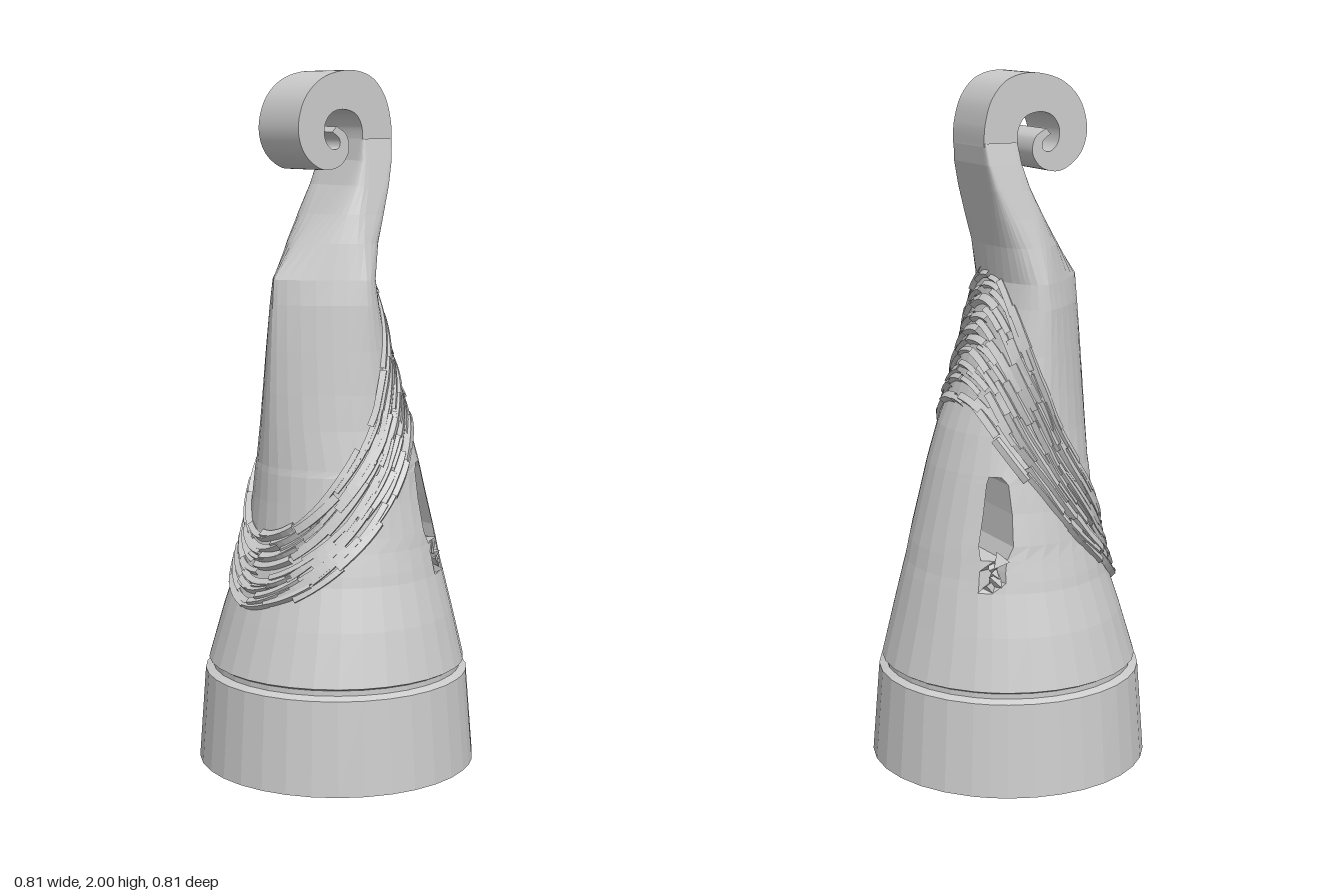
import * as THREE from 'three';

const mat = new THREE.MeshStandardMaterial({ color: 0xcccccc, flatShading: true, side: THREE.DoubleSide });

// body sections: y, x min, x max, half depth, squareness of front half and of back half
// (1 = ellipse, below 1 = box, above 1 = pointed)
const ROWS = [
  [0, -0.404, 0.404, 0.407, 1, 1], [0.27, -0.385, 0.383, 0.385, 1, 1], [0.28, -0.362, 0.362, 0.364, 1, 1],
  [0.295, -0.362, 0.362, 0.364, 1, 1], [0.302, -0.374, 0.374, 0.377, 1, 1], [0.45, -0.328, 0.338, 0.342, 1, 1],
  [0.57, -0.288, 0.31, 0.306, 1, 1], [0.6, -0.28, 0.302, 0.3, 1, 1], [0.63, -0.272, 0.296, 0.293, 1, 1],
  [0.66, -0.263, 0.29, 0.286, 1, 1], [0.7, -0.253, 0.28, 0.279, 1, 1.03], [0.79, -0.246, 0.258, 0.262, 1, 1.06],
  [0.87, -0.242, 0.238, 0.25, 1, 1.1], [0.89, -0.24, 0.233, 0.246, 1, 1.12], [1.0, -0.238, 0.2, 0.226, 1, 1.2],
  [1.1, -0.235, 0.16, 0.213, 1, 1.28], [1.22, -0.23, 0.118, 0.202, 1, 1.38], [1.35, -0.224, 0.078, 0.193, 1, 1.52],
  [1.42, -0.22, 0.06, 0.184, 0.95, 1.65], [1.52, -0.145, 0.073, 0.158, 0.7, 1.25], [1.6, -0.08, 0.09, 0.14, 0.45, 0.85],
  [1.68, -0.024, 0.106, 0.124, 0.25, 0.45], [1.75, 0.008, 0.12, 0.111, 0.15, 0.2], [1.81, 0.02, 0.125, 0.099, 0.1, 0.1],
];
// eye slot edges by row: first row index and [x inner, x outer]
const SLOT0 = 9;
const SLOT = [[0.14, 0.2], [0.12, 0.2], [0.114, 0.18], [0.116, 0.165], [0.13, 0.158]];

const pow = (v, e) => Math.sign(v) * Math.pow(Math.abs(v), e);
// x where a section is deepest: further forward where the back is pointed
const centre = (row) => (row[1] + row[2]) / 2 + Math.max(0, row[5] - 1) * 0.08;
function onRow(row, a) {
  const c = centre(row), back = Math.cos(a) < 0;
  const e = back ? row[5] : row[4];
  const rx = back ? c - row[1] : row[2] - c;
  return new THREE.Vector3(c + rx * pow(Math.cos(a), e), row[0], row[3] * pow(Math.sin(a), e));
}
function onBody(y, a) {
  let i = 0;
  while (i < ROWS.length - 2 && ROWS[i + 1][0] < y) i++;
  const t = (y - ROWS[i][0]) / (ROWS[i + 1][0] - ROWS[i][0]);
  return onRow(ROWS[i].map((v, k) => THREE.MathUtils.lerp(v, ROWS[i + 1][k], t)), a);
}

function seeded(seed) {
  return () => {
    seed = (seed * 16807) % 2147483647;
    return seed / 2147483647;
  };
}

function add(group, name, geometry) {
  const mesh = new THREE.Mesh(geometry, mat);
  mesh.name = name;
  group.add(mesh);
  return mesh;
}

// lofted body with a slot running through it from front to back
function bodyGeometry() {
  const A = 4, B = 6, H = 17; // slot lies between columns A and B of the front half
  const pos = [];
  const tri = (...p) => p.forEach((v) => pos.push(v.x, v.y, v.z));
  const quad = (a, b, c, d) => tri(a, d, b, b, d, c);
  const halves = ROWS.map((row, r) => {
    let outer = 0.82, inner = 1.08;
    const s = SLOT[r - SLOT0];
    if (s) {
      const c = centre(row), rx = row[2] - c;
      outer = Math.acos((s[1] - c) / rx);
      inner = Math.acos((s[0] - c) / rx);
    }
    return Array.from({ length: H + 1 }, (_, k) => {
      const a = k <= A ? outer * k / A
        : k <= B ? outer + (inner - outer) * (k - A) / (B - A)
          : inner + (Math.PI - inner) * (k - B) / (H - B);
      const p = onRow(row, a);
      if (k === H) p.z = 0;
      // chipped hollow below the slot
      if (k === A + 1 && (r === 7 || r === 8)) p.multiply(new THREE.Vector3(0.9, 1, 0.86));
      return p;
    });
  });
  const flip = (p) => new THREE.Vector3(p.x, p.y, -p.z);
  for (let r = 0; r < ROWS.length - 1; r++) {
    const lo = halves[r], hi = halves[r + 1];
    const open = r >= SLOT0 && r < SLOT0 + SLOT.length - 1;
    for (let k = 0; k < H; k++) {
      if (open && k >= A && k < B) continue;
      quad(lo[k], lo[k + 1], hi[k + 1], hi[k]);
      quad(flip(lo[k + 1]), flip(lo[k]), flip(hi[k]), flip(hi[k + 1]));
    }
    // slot side walls
    if (open) {
      quad(lo[A], flip(lo[A]), flip(hi[A]), hi[A]);
      quad(flip(lo[B]), lo[B], hi[B], flip(hi[B]));
    }
  }
  // slot floor and ceiling
  for (let k = A; k < B; k++) {
    const f = halves[SLOT0], c = halves[SLOT0 + SLOT.length - 1];
    quad(f[k], f[k + 1], flip(f[k + 1]), flip(f[k]));
    quad(c[k + 1], c[k], flip(c[k]), flip(c[k + 1]));
  }
  // underside
  const mid = new THREE.Vector3();
  for (let k = 0; k < H; k++) {
    tri(mid, halves[0][k], halves[0][k + 1]);
    tri(mid, flip(halves[0][k + 1]), flip(halves[0][k]));
  }
  const g = new THREE.BufferGeometry();
  g.setAttribute('position', new THREE.Float32BufferAttribute(pos, 3));
  g.computeVertexNormals();
  return g;
}

// curled tip: tapering spiral outline, extruded across the depth
function scrollGeometry() {
  const v = (list) => list.map(([x, y]) => new THREE.Vector2(x, y));
  const s = new THREE.Shape();
  s.moveTo(0.125, 1.8);
  s.splineThru(v([[0.122, 1.86], [0.1, 1.93], [0.05, 1.983], [-0.03, 2], [-0.12, 1.977], [-0.18, 1.92],
    [-0.202, 1.84], [-0.18, 1.77], [-0.12, 1.727], [-0.06, 1.735], [-0.028, 1.775], [-0.035, 1.82], [-0.07, 1.845]]));
  s.lineTo(-0.085, 1.83);
  s.splineThru(v([[-0.06, 1.81], [-0.062, 1.787], [-0.085, 1.782], [-0.108, 1.805], [-0.112, 1.845],
    [-0.09, 1.88], [-0.05, 1.892], [-0.005, 1.88], [0.018, 1.845], [0.02, 1.8]]));
  const g = new THREE.ExtrudeGeometry(s, { depth: 0.19, bevelEnabled: false, curveSegments: 36 });
  g.translate(0, 0, -0.095);
  return g;
}

export function createModel() {
  const model = new THREE.Group();
  const rand = seeded(71);
  add(model, 'body', bodyGeometry());
  add(model, 'scrollTip', scrollGeometry());

  // slanting rough band, high at +x and low at -x, made of short overlapping ridges
  const band = new THREE.Group();
  band.name = 'braidedBand';
  model.add(band);
  const strands = 10, pieces = 18;
  for (let i = 0; i < strands; i++) {
    const t = i / (strands - 1);
    for (let j = 0; j < pieces; j++) {
      const start = (j + rand() * 0.5 + i * 0.5) / pieces;
      const shift = (rand() - 0.5) * 0.025, slope = (rand() - 0.5) * 0.03, lift = 1 + rand() * 0.025;
      const pts = [];
      for (let k = 0; k < 5; k++) {
        const a = (start + k / 4 * 1.25 / pieces) * Math.PI * 2;
        const w = Math.pow((1 + Math.cos(a)) / 2, 0.88);
        const y = THREE.MathUtils.lerp(0.49 + 0.19 * t, 1.09 + 0.35 * t, w) + shift + slope * (k / 4 - 0.5);
        const p = onBody(y, a);
        pts.push(new THREE.Vector3(-0.04 + (p.x + 0.04) * lift, y, p.z * lift));
      }
      add(band, 'ridge', new THREE.TubeGeometry(new THREE.CatmullRomCurve3(pts), 6, 0.01 + rand() * 0.007, 4));
    }
  }

  // broken chips under each end of the slot
  for (const side of [1, -1]) {
    for (let i = 0; i < 5; i++) {
      const p = onBody(0.585 + i * 0.018, 0.86 + rand() * 0.22);
      const chip = add(model, 'chip', new THREE.TetrahedronGeometry(0.02 + rand() * 0.012));
      chip.position.set(p.x * 0.97, p.y, side * p.z * 0.97);
      chip.rotation.set(rand() * 6, rand() * 6, rand() * 6);
    }
  }
  return model;
}
